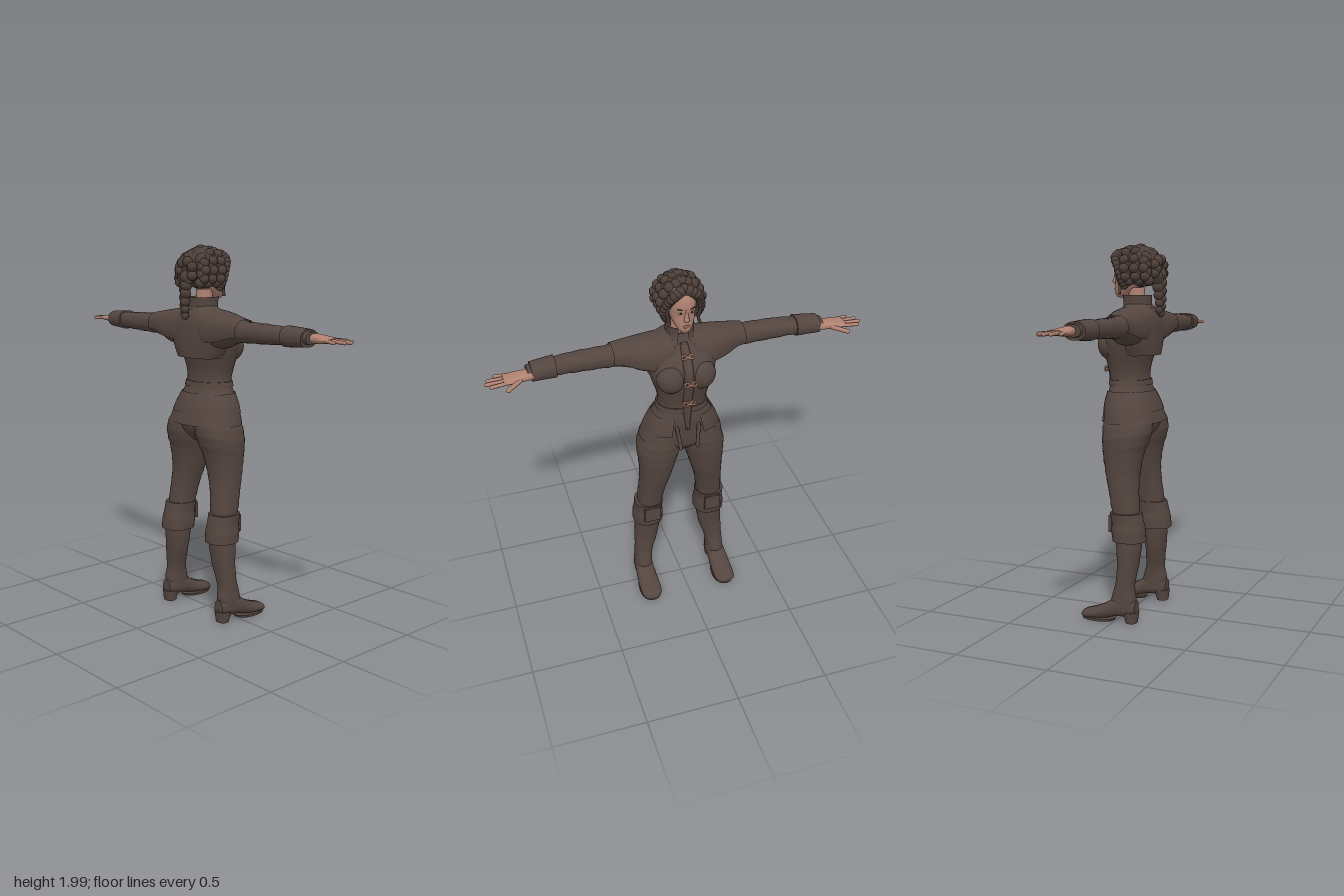
import * as THREE from 'three';
import { toCreasedNormals, mergeGeometries } from 'three/addons/utils/BufferGeometryUtils.js';

const V = (x, y, z) => new THREE.Vector3(x, y, z);
const mat = (name, color, side = THREE.FrontSide) => {
  const m = new THREE.MeshStandardMaterial({ color, side });
  m.name = name;
  return m;
};

// Smooth interpolation through rows of numbers
function refine(rows, sub) {
  const out = [], at = i => rows[Math.max(0, Math.min(rows.length - 1, i))];
  for (let i = 0; i < rows.length - 1; i++)
    for (let s = 0; s < sub; s++) {
      const f = s / sub, [a, b, c, d] = [at(i - 1), at(i), at(i + 1), at(i + 2)];
      out.push(b.map((_, k) => 0.5 * (2 * b[k] + (c[k] - a[k]) * f
        + (2 * a[k] - 5 * b[k] + 4 * c[k] - d[k]) * f * f
        + (3 * b[k] - a[k] - 3 * c[k] + d[k]) * f * f * f)));
    }
  out.push(rows[rows.length - 1]);
  return out;
}

// Skin rounded sections [t, u0, u1, v0, v1] stacked along an axis.
// Axis y: u=x v=z, axis x: u=z v=y, axis z: u=y v=x. An arc range leaves the shell open.
function loft(axis, rows, { arc, ripple = 0, freq = 90, sub = 4, seg = 28 } = {}) {
  const rings = refine(rows, sub), pos = [], idx = [], w = seg + 1;
  const [a0, a1] = (arc || [0, 360]).map(THREE.MathUtils.degToRad);
  const put = (t, u, v) => pos.push(...(axis === 'y' ? [u, t, v] : axis === 'x' ? [t, v, u] : [v, u, t]));
  const pw = v => Math.sign(v) * Math.pow(Math.abs(v), 0.87);
  for (const [t, u0, u1, v0, v1] of rings)
    for (let j = 0; j <= seg; j++) {
      const a = a0 + (a1 - a0) * j / seg, k = 1 + ripple * Math.sin(t * freq + 2 * Math.sin(a));
      put(t, (u0 + u1) / 2 + k * (u1 - u0) / 2 * pw(Math.cos(a)), (v0 + v1) / 2 + k * (v1 - v0) / 2 * pw(Math.sin(a)));
    }
  for (let i = 0; i < rings.length - 1; i++)
    for (let j = 0; j < seg; j++) {
      const p = i * w + j;
      idx.push(p, p + w, p + 1, p + 1, p + w, p + w + 1);
    }
  if (!arc) for (const i of [0, rings.length - 1]) {
    const [t, u0, u1, v0, v1] = rings[i], c = pos.length / 3;
    put(t, (u0 + u1) / 2, (v0 + v1) / 2);
    for (let j = 0; j < seg; j++) idx.push(c, ...(i ? [i * w + j + 1, i * w + j] : [j, j + 1]));
  }
  const g = new THREE.BufferGeometry();
  g.setAttribute('position', new THREE.Float32BufferAttribute(pos, 3));
  g.setIndex(idx);
  return toCreasedNormals(g, 0.9);
}

// Centred symmetric rows: [y, halfWidth, zBack, zFront]
const sym = rows => rows.map(([y, h, b, f]) => [y, -h, h, b, f]);
const ball = (x, y, z, rx, ry, rz) => new THREE.SphereGeometry(1, 18, 12).scale(rx, ry, rz).translate(x, y, z);
const box = (x, y, z, w, h, d) => new THREE.BoxGeometry(w, h, d).translate(x, y, z);

function rod(a, b, r) {
  const d = b.clone().sub(a), g = new THREE.CapsuleGeometry(r, d.length(), 5, 10);
  g.applyQuaternion(new THREE.Quaternion().setFromUnitVectors(V(0, 1, 0), d.normalize()));
  return g.translate(...a.clone().lerp(b, 0.5).toArray());
}

// Plaited strand: overlapping beads alternating around a curve
function braid(points, n, r, taper = 0) {
  const c = new THREE.CatmullRomCurve3(points);
  return mergeGeometries(Array.from({ length: n }, (_, i) => {
    const f = i / (n - 1), p = c.getPoint(f), s = r * (1 - taper * f), o = (i % 2 ? 1 : -1) * s * 0.3;
    return new THREE.SphereGeometry(s, 12, 9).translate(p.x + o, p.y, p.z + o * 0.5);
  }));
}

function mirrored(geo) {
  const g = geo.clone().scale(-1, 1, 1);
  const n = g.index ? Array.from(g.index.array) : Array.from({ length: g.attributes.position.count }, (_, i) => i);
  for (let i = 0; i < n.length; i += 3) [n[i], n[i + 1]] = [n[i + 1], n[i]];
  g.setIndex(n);
  return g;
}

export function createModel() {
  const leather = mat('darkBrownLeather', 0x54453f, THREE.DoubleSide);
  const hair = mat('darkBrownHair', 0x4c3e38, THREE.DoubleSide);
  const skin = mat('skin', 0xb08272);
  const lip = mat('lips', 0x94625a), white = mat('eyeWhite', 0xb5aaa4), dark = mat('iris', 0x2a211e);

  const body = new THREE.Group();
  body.name = 'figure';
  const add = (name, geo, m) => {
    const mesh = new THREE.Mesh(geo, m);
    mesh.name = name;
    body.add(mesh);
  };
  const pair = (name, geo, m) => {
    const cap = name[0].toUpperCase() + name.slice(1);
    add('left' + cap, geo, m);
    add('right' + cap, mirrored(geo), m);
  };

  // Jacket
  add('jacket', loft('y', sym([[1.1, 0.185, -0.135, 0.11], [1.18, 0.17, -0.12, 0.12], [1.27, 0.13, -0.09, 0.11],
    [1.34, 0.135, -0.09, 0.122], [1.42, 0.16, -0.11, 0.14], [1.48, 0.175, -0.125, 0.145], [1.54, 0.18, -0.13, 0.125],
    [1.6, 0.185, -0.13, 0.08], [1.65, 0.13, -0.12, 0.04], [1.68, 0.07, -0.1, 0.03]])), leather);
  pair('bust', ball(0.078, 1.465, 0.085, 0.08, 0.085, 0.075), leather);
  add('placket', loft('y', sym([[1.15, 0.012, 0.08, 0.132], [1.3, 0.024, 0.08, 0.135], [1.45, 0.026, 0.1, 0.165],
    [1.55, 0.026, 0.08, 0.145], [1.64, 0.02, 0.0, 0.07]])), leather);
  add('waistSeam', loft('y', sym([[1.25, 0.142, -0.1, 0.118], [1.265, 0.139, -0.098, 0.118], [1.28, 0.135, -0.095, 0.116]])), leather);
  add('collar', loft('y', sym([[1.63, 0.1, -0.12, 0.065], [1.67, 0.073, -0.105, 0.045], [1.725, 0.072, -0.105, 0.05]]),
    { arc: [108, 432] }), leather);

  // Two-tier skirt of the jacket, open at the front
  add('upperPeplum', loft('y', sym([[1.115, 0.207, -0.155, 0.138], [1.16, 0.19, -0.14, 0.135], [1.22, 0.16, -0.112, 0.122]]),
    { arc: [112, 428] }), leather);
  add('lowerPeplum', loft('y', sym([[1.055, 0.226, -0.168, 0.135], [1.1, 0.213, -0.155, 0.132], [1.15, 0.19, -0.135, 0.125]]),
    { arc: [135, 405] }), leather);
  pair('beltEnd', rod(V(0.06, 1.17, 0.125), V(0.045, 1.05, 0.15), 0.01), leather);

  // Short shoulder cape
  pair('shoulderCape', loft('x', [[0.05, -0.14, 0.085, 1.44, 1.67], [0.13, -0.145, 0.085, 1.44, 1.662], [0.22, -0.14, 0.06, 1.46, 1.65],
    [0.3, -0.13, 0.025, 1.495, 1.636], [0.35, -0.128, 0.015, 1.505, 1.627]], { arc: [-18, 205] }), leather);
  add('backCape', loft('y', sym([[1.41, 0.15, -0.145, 0.08], [1.5, 0.195, -0.15, 0.08], [1.6, 0.2, -0.145, 0.06],
    [1.66, 0.1, -0.12, 0.04]]), { arc: [180, 360] }), leather);

  // Front clasps
  for (const [y, z] of [[1.595, 0.12], [1.46, 0.168], [1.33, 0.148]]) {
    add('claspBar', box(0, y, z, 0.03, 0.012, 0.014), skin);
    pair('claspRing', new THREE.TorusGeometry(0.013, 0.005, 8, 14).translate(0.019, y, z), skin);
  }

  // Sleeves and cuffs
  pair('sleeve', loft('x', [[0.1, -0.125, 0.05, 1.45, 1.63], [0.2, -0.13, 0.04, 1.47, 1.64], [0.3, -0.12, 0.01, 1.505, 1.625],
    [0.4, -0.115, 0, 1.512, 1.617], [0.5, -0.115, 0, 1.515, 1.615], [0.6, -0.108, 0, 1.52, 1.61],
    [0.7, -0.095, 0.005, 1.525, 1.605], [0.785, -0.08, 0.015, 1.535, 1.597]], { ripple: 0.025, freq: 75 }), leather);
  pair('cuff', loft('x', [[0.64, -0.112, 0.012, 1.513, 1.617], [0.7, -0.105, 0.014, 1.516, 1.613], [0.765, -0.096, 0.02, 1.52, 1.608]]), leather);

  // Hands, palms down
  pair('palm', loft('x', [[0.76, -0.055, 0.02, 1.54, 1.59], [0.81, -0.055, 0.024, 1.54, 1.585],
    [0.86, -0.061, 0.038, 1.544, 1.578], [0.905, -0.056, 0.034, 1.549, 1.572]]), skin);
  [[-0.048, -0.06, 0.94], [-0.024, -0.028, 0.978], [0.001, 0.002, 0.991], [0.025, 0.032, 0.968]].forEach(([z0, z1, x]) =>
    pair('finger', rod(V(0.885, 1.561, z0), V(x, 1.557, z1), 0.0095), skin));
  pair('thumb', rod(V(0.825, 1.56, 0.02), V(0.895, 1.553, 0.078), 0.0115), skin);

  // Trousers
  add('hips', loft('y', sym([[0.965, 0.04, -0.09, 0.05], [1.02, 0.16, -0.135, 0.1], [1.08, 0.195, -0.145, 0.112], [1.15, 0.175, -0.125, 0.115]])), leather);
  pair('trouserLeg', loft('y', [[0.5, 0.115, 0.235, -0.11, 0.02], [0.6, 0.104, 0.242, -0.11, 0.038], [0.7, 0.088, 0.236, -0.1, 0.06],
    [0.8, 0.06, 0.232, -0.1, 0.085], [0.9, 0.032, 0.237, -0.118, 0.102], [0.98, 0.004, 0.24, -0.145, 0.11],
    [1.05, 0, 0.22, -0.152, 0.11], [1.13, 0.01, 0.175, -0.12, 0.1]], { ripple: 0.014, freq: 110 }), leather);

  // Tall boots
  pair('bootShaft', loft('y', [[0.07, 0.168, 0.272, -0.11, 0.03], [0.13, 0.17, 0.27, -0.112, 0.022], [0.2, 0.163, 0.265, -0.102, 0.002],
    [0.3, 0.132, 0.261, -0.114, -0.004], [0.4, 0.115, 0.256, -0.125, 0.005], [0.5, 0.11, 0.25, -0.128, 0.02]], { ripple: 0.012, freq: 70 }), leather);
  pair('bootCuff', loft('y', [[0.435, 0.098, 0.267, -0.15, 0.026], [0.49, 0.098, 0.265, -0.146, 0.034], [0.53, 0.103, 0.258, -0.137, 0.033],
    [0.585, 0.1, 0.258, -0.124, 0.044]]), leather);
  pair('kneeFlap', box(0.178, 0.525, 0.034, 0.09, 0.09, 0.016), leather);
  pair('foot', loft('z', [[-0.118, 0.035, 0.12, 0.19, 0.252], [-0.06, 0.03, 0.14, 0.172, 0.27], [0, 0.025, 0.13, 0.17, 0.276],
    [0.06, 0.01, 0.09, 0.166, 0.281], [0.13, 0.006, 0.06, 0.164, 0.283], [0.175, 0.006, 0.046, 0.176, 0.275], [0.192, 0.01, 0.03, 0.205, 0.248]]), leather);
  pair('heel', loft('y', [[0, 0.186, 0.258, -0.122, -0.06], [0.06, 0.178, 0.265, -0.13, -0.045]]), leather);
  pair('sole', loft('y', [[0, 0.165, 0.282, 0.01, 0.19], [0.014, 0.163, 0.284, 0, 0.194]], { sub: 1 }), leather);

  // Neck and head
  add('neck', new THREE.CylinderGeometry(0.042, 0.05, 0.15, 20).translate(0, 1.69, -0.025), skin);
  add('head', loft('y', sym([[1.713, 0.02, 0.035, 0.084], [1.735, 0.038, 0, 0.096], [1.77, 0.055, -0.05, 0.096], [1.81, 0.065, -0.09, 0.094],
    [1.86, 0.07, -0.1, 0.099], [1.91, 0.067, -0.1, 0.09], [1.95, 0.048, -0.08, 0.06]])), skin);
  add('nose', loft('y', sym([[1.785, 0.011, 0.075, 0.104], [1.797, 0.014, 0.075, 0.117], [1.82, 0.009, 0.075, 0.109], [1.85, 0.007, 0.075, 0.1]])), skin);
  add('mouth', ball(0, 1.757, 0.096, 0.02, 0.008, 0.005), lip);
  pair('ear', ball(0.068, 1.815, -0.01, 0.01, 0.026, 0.016), skin);
  pair('eye', ball(0.028, 1.832, 0.089, 0.014, 0.006, 0.004), white);
  pair('iris', ball(0.028, 1.832, 0.092, 0.006, 0.006, 0.003), dark);
  pair('eyebrow', ball(0, 0, 0, 0.018, 0.004, 0.005).rotateZ(0.15).rotateY(0.3).translate(0.03, 1.852, 0.09), hair);

  // Hair: cap, swept fringe, crown braids, coil and tail
  add('hairCap', ball(0, 1.875, -0.05, 0.108, 0.108, 0.115), hair);
  pair('fringe', braid([V(0.008, 1.945, 0.062), V(0.05, 1.92, 0.072), V(0.08, 1.87, 0.045), V(0.092, 1.81, 0.02), V(0.078, 1.77, 0.01)], 22, 0.027, 0.35), hair);
  pair('looseLock', new THREE.TubeGeometry(new THREE.CatmullRomCurve3([V(0.075, 1.87, 0.06), V(0.086, 1.82, 0.05), V(0.078, 1.77, 0.04),
    V(0.09, 1.73, 0.035)]), 16, 0.008, 8), hair);
  [[0.012, 0.96], [-0.045, 0.966], [-0.1, 0.945]].forEach(([z, top]) =>
    pair('crownBraid', braid([V(0, 1 + top, z), V(0.06, 0.978 + top, z - 0.005), V(0.095, 1.87, z - 0.01), V(0.088, 1.8, z - 0.02)], 11, 0.027), hair));
  add('hairCoil', braid(Array.from({ length: 9 }, (_, i) =>
    V(0.05 * Math.cos(i * Math.PI / 4), 1.86 + 0.05 * Math.sin(i * Math.PI / 4), -0.15)), 15, 0.027), hair);
  add('hairTail', braid([V(0, 1.83, -0.15), V(0, 1.76, -0.155), V(0, 1.69, -0.16), V(0, 1.63, -0.158)], 11, 0.036, 0.45), hair);

  // The figure faces along +x
  body.rotation.y = Math.PI / 2;
  const model = new THREE.Group();
  model.name = 'adventurer';
  model.add(body);
  return model;
}
